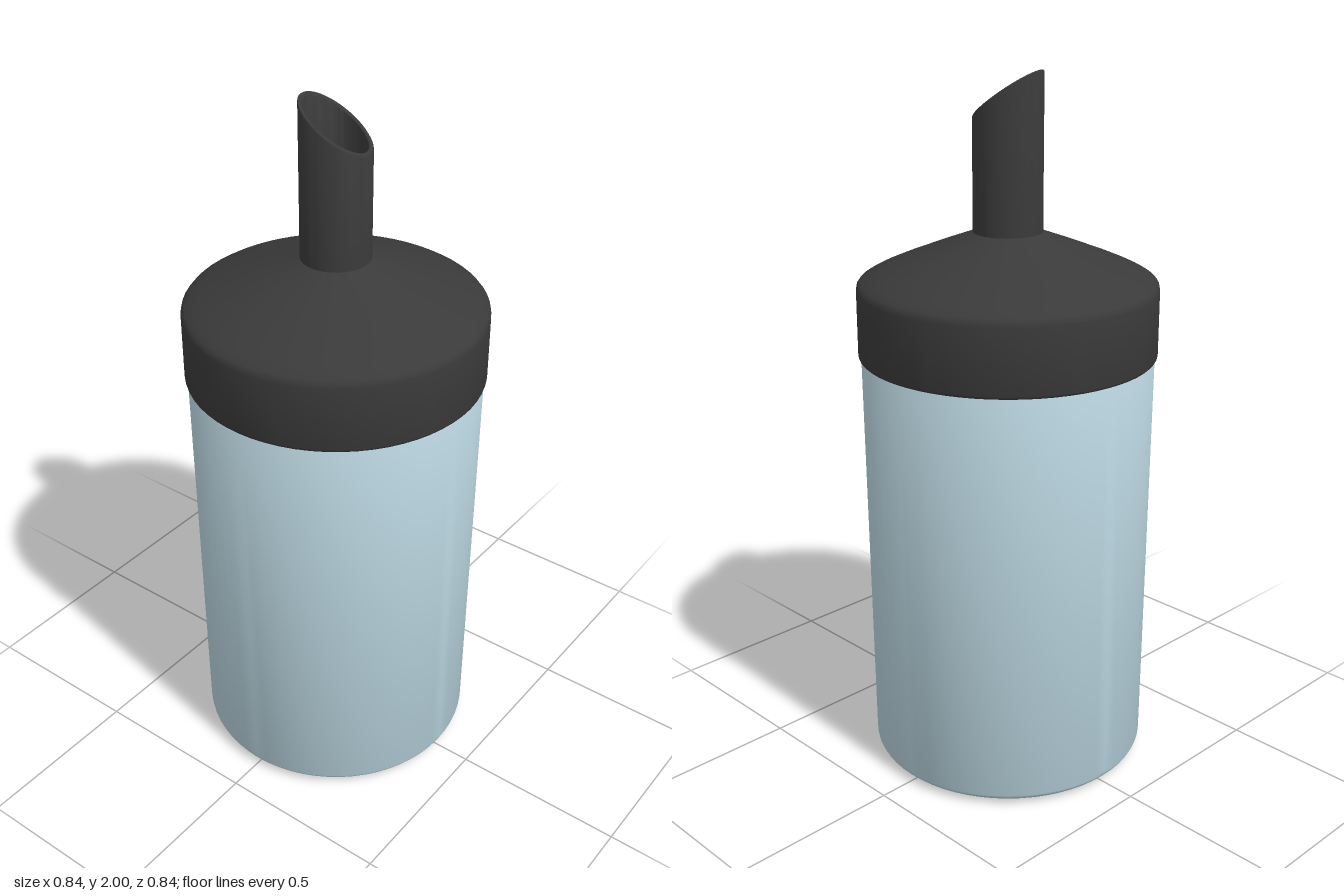
import * as THREE from 'three';
import { toCreasedNormals } from 'three/addons/utils/BufferGeometryUtils.js';

const SEGMENTS = 64;

// Turns a [radius, height] profile (outside upward, inside downward)
function turned(name, profile, color, reshape) {
  const geo = new THREE.LatheGeometry(profile.map(([r, y]) => new THREE.Vector2(r, y)), SEGMENTS);
  if (reshape) reshape(geo.attributes.position);
  const mesh = new THREE.Mesh(
    toCreasedNormals(geo, Math.PI / 5),
    new THREE.MeshStandardMaterial({ color })
  );
  mesh.name = name;
  return mesh;
}

// Rounded corner: points on a quarter arc about (cx, cy)
function arc(cx, cy, radius, from, to, steps = 5) {
  return Array.from({ length: steps + 1 }, (_, i) => {
    const a = THREE.MathUtils.degToRad(from + ((to - from) * i) / steps);
    return [cx + radius * Math.cos(a), cy + radius * Math.sin(a)];
  });
}

export function createModel() {
  const group = new THREE.Group();
  group.name = 'sugarDispenser';
  const glass = 0xb5d0da;
  const dark = 0x3a3a3a;

  // Hollow glass jar, slightly wider at the top, its neck hidden in the lid
  group.add(turned('jar', [
    [0, 0], [0.3, 0.003], [0.36, 0.008],
    ...arc(0.368, 0.04, 0.032, -90, 0),
    [0.41, 1.215], [0.4, 1.23], [0.397, 1.385],
    [0.375, 1.385], [0.372, 0.06], [0.35, 0.03], [0, 0.03],
  ], glass));

  // Screw lid with a conical shoulder, open in the middle for the spout
  group.add(turned('lid', [
    [0.402, 1.4], [0.402, 1.22],
    ...arc(0.41, 1.228, 0.008, -90, 0, 3),
    [0.418, 1.41], [0.416, 1.422], [0.409, 1.431], [0.39, 1.443], [0.36, 1.458],
    [0.3, 1.484], [0.2, 1.524], [0.115, 1.556], [0.096, 1.565],
    [0.083, 1.54], [0.36, 1.43], [0.402, 1.4],
  ], dark));

  // Pouring tube; every point near the tip is shifted onto a slanted plane
  const tip = 1.934;
  const slantAngle = THREE.MathUtils.degToRad(18);
  const slant = 0.7;
  group.add(turned('spout', [
    [0.083, 1.54], [0.096, 1.54], [0.096, tip - 0.006],
    ...arc(0.09, tip - 0.006, 0.006, 20, 160, 4),
    [0.083, tip - 0.006], [0.083, 1.54],
  ], dark, (pos) => {
    for (let i = 0; i < pos.count; i++) {
      if (pos.getY(i) < 1.8) continue;
      const d = pos.getX(i) * Math.sin(slantAngle) + pos.getZ(i) * Math.cos(slantAngle);
      pos.setY(i, pos.getY(i) - slant * d);
    }
  }));

  return group;
}
